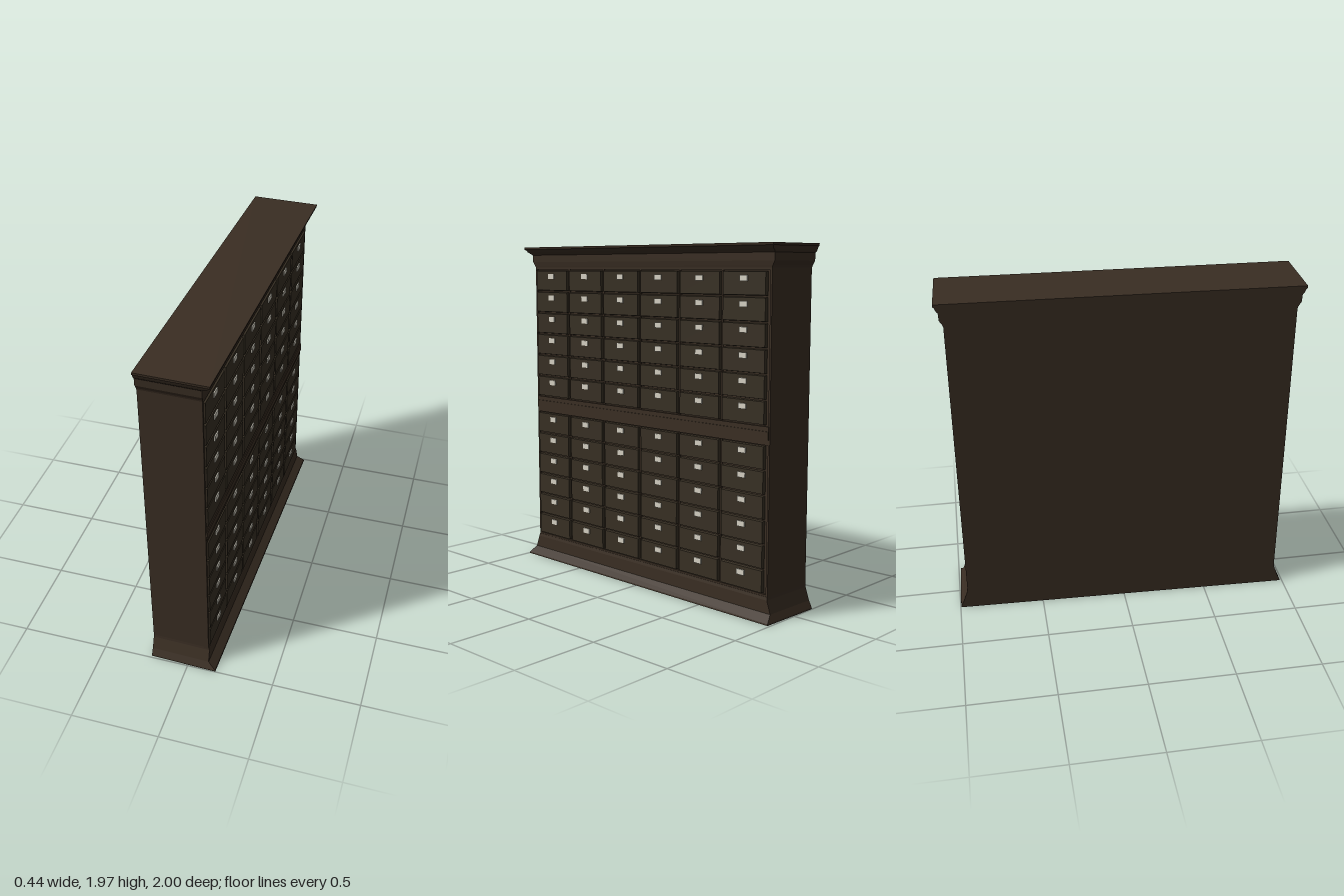
import * as THREE from 'three';

const wood = new THREE.MeshStandardMaterial({ color: 0x3a2e23, flatShading: true });
wood.name = 'dark wood';
const drawerWood = new THREE.MeshStandardMaterial({ color: 0x383024, flatShading: true });
drawerWood.name = 'drawer wood';
const paper = new THREE.MeshStandardMaterial({ color: 0xd6d2c4 });
paper.name = 'label paper';

const BACK = -0.192;

// Stack of rectangular rings [y, front x, half length]; the back stays flush.
function loft(rings) {
  const pos = [], idx = [];
  rings.forEach(([y, f, h]) => pos.push(f, y, h, f, y, -h, BACK, y, -h, BACK, y, h));
  for (let r = 0; r < rings.length - 1; r++) {
    for (let i = 0; i < 4; i++) {
      const a = r * 4 + i, b = r * 4 + (i + 1) % 4;
      idx.push(a, b, a + 4, b, b + 4, a + 4);
    }
  }
  const t = (rings.length - 1) * 4;
  idx.push(0, 2, 1, 0, 3, 2, t, t + 1, t + 2, t, t + 2, t + 3);
  const g = new THREE.BufferGeometry();
  g.setAttribute('position', new THREE.Float32BufferAttribute(pos, 3));
  g.setIndex(idx);
  const flat = g.toNonIndexed();
  flat.computeVertexNormals();
  return flat;
}

// Drawer front with chamfered edges.
function drawerGeometry(w, h, d, chamfer) {
  const g = new THREE.BoxGeometry(d, h, w, 2, 1, 1).toNonIndexed();
  const p = g.attributes.position;
  for (let i = 0; i < p.count; i++) {
    if (p.getX(i) > d / 4) {
      p.setY(i, p.getY(i) - Math.sign(p.getY(i)) * chamfer);
      p.setZ(i, p.getZ(i) - Math.sign(p.getZ(i)) * chamfer);
    }
  }
  g.computeVertexNormals();
  return g;
}

export function createModel() {
  const cabinet = new THREE.Group();
  cabinet.name = 'drawerCabinet';

  const add = (name, geometry, material, x = 0, y = 0, z = 0) => {
    const m = new THREE.Mesh(geometry, material);
    m.name = name;
    m.position.set(x, y, z);
    cabinet.add(m);
    return m;
  };
  // Bar on the face, running from the recess out to a given front x.
  const bar = (name, front, y0, y1, z0, z1) => add(name,
    new THREE.BoxGeometry(front - 0.11, y1 - y0, z1 - z0), wood,
    (front + 0.11) / 2, (y0 + y1) / 2, (z0 + z1) / 2);

  // Carcass, flared plinth and moulded cornice
  add('carcass', loft([[0.1, 0.127, 0.946], [1.86, 0.127, 0.946]]), wood);
  add('plinth', loft([[0, 0.192, 0.993], [0.008, 0.19, 0.992], [0.045, 0.146, 0.973],
    [0.115, 0.144, 0.948], [0.132, 0.14, 0.946]]), wood);
  add('cornice', loft([[1.845, 0.138, 0.947], [1.855, 0.14, 0.95], [1.88, 0.144, 0.966],
    [1.922, 0.145, 0.968], [1.93, 0.155, 0.976], [1.94, 0.173, 0.981],
    [1.952, 0.183, 0.986], [1.957, 0.19, 0.992], [1.97, 0.192, 0.993]]), wood);

  // Face frame: corner posts, rails and column dividers
  for (const s of [-1, 1]) {
    bar('cornerPost', 0.138, 0.12, 1.85, s * 0.941 - 0.006, s * 0.941 + 0.006);
  }
  bar('topRail', 0.138, 1.833, 1.85, -0.94, 0.94);
  bar('middleRail', 0.141, 0.938, 1.035, -0.94, 0.94);
  bar('middleMoulding', 0.146, 0.965, 1.01, -0.94, 0.94);
  bar('bottomRail', 0.138, 0.125, 0.142, -0.94, 0.94);

  const pitchZ = 0.3105, pitchY = 0.1325;
  for (let c = 1; c < 6; c++) {
    const z = (c - 3) * pitchZ + 0.009;
    bar('columnDivider', 0.133, 0.13, 1.84, z - 0.005, z + 0.005);
  }

  // Two banks of six by six drawers, each with a paper label
  const drawer = drawerGeometry(0.292, 0.1245, 0.032, 0.003);
  const label = new THREE.BoxGeometry(0.007, 0.03, 0.052);
  for (const top of [1.832, 0.936]) {
    for (let row = 0; row < 6; row++) {
      const y = top - (row + 0.5) * pitchY;
      for (let col = 0; col < 6; col++) {
        const z = (2.5 - col) * pitchZ + 0.009;
        add('drawerFront', drawer, drawerWood, 0.129, y, z);
        add('drawerLabel', label, paper, 0.1475, y + 0.026, z);
      }
    }
  }

  // The cabinet stands slightly turned
  cabinet.rotation.y = -0.0275;
  const model = new THREE.Group();
  model.add(cabinet);
  return model;
}
